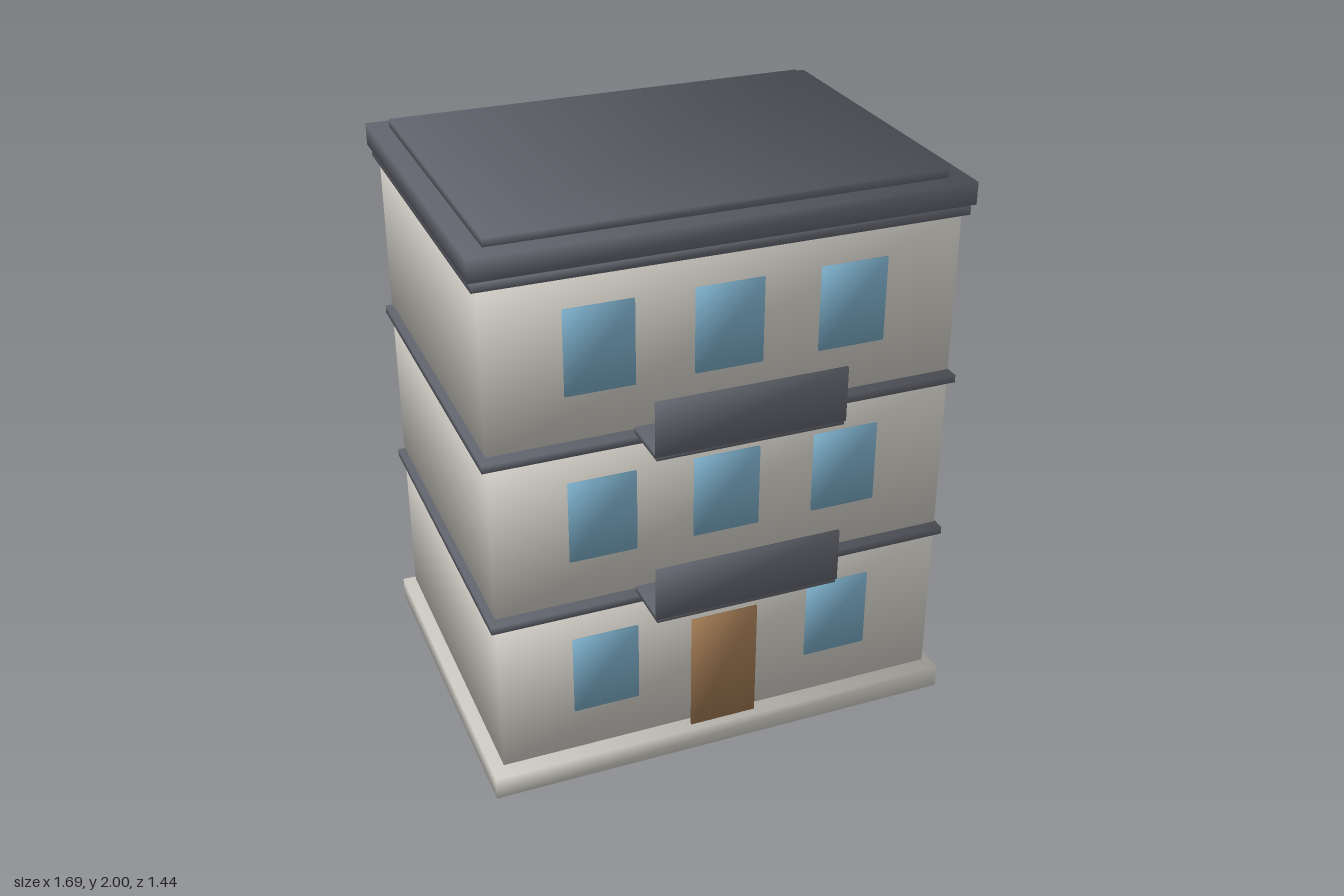
import * as THREE from 'three';

const material = (name, color) => {
  const m = new THREE.MeshStandardMaterial({ color });
  m.name = name;
  return m;
};

// Box between two corners, with normals blended across its corners for soft shading
function softBox(name, mat, [x0, x1], [y0, y1], [z0, z1]) {
  const geo = new THREE.BoxGeometry(x1 - x0, y1 - y0, z1 - z0);
  const pos = geo.attributes.position;
  const v = new THREE.Vector3();
  for (let i = 0; i < pos.count; i++) {
    v.fromBufferAttribute(pos, i);
    v.set(Math.sign(v.x), Math.sign(v.y), Math.sign(v.z)).normalize();
    geo.attributes.normal.setXYZ(i, v.x, v.y, v.z);
  }
  const mesh = new THREE.Mesh(geo, mat);
  mesh.name = name;
  mesh.position.set((x0 + x1) / 2, (y0 + y1) / 2, (z0 + z1) / 2);
  return mesh;
}

export function createModel() {
  const stone = material('pale stone', 0xd2cfc7);
  const slate = material('slate grey', 0x646770);
  const glass = material('blue glass', 0x7badc8);
  const wood = material('brown wood', 0x9f7852);

  const building = new THREE.Group();
  building.name = 'apartmentBuilding';

  const FRONT = 0.525, BACK = -0.68, HALF = 0.802, STOREY = 0.601;

  // Slab that overhangs the walls by a margin on every side
  const slab = (name, mat, margin, y0, y1) =>
    softBox(name, mat, [-HALF - margin, HALF + margin], [y0, y1], [BACK - margin, FRONT + margin]);

  building.add(slab('plinth', stone, 0.041, 0, 0.082));

  for (let floor = 0; floor < 3; floor++) {
    const base = 0.1 + floor * STOREY;
    const storey = new THREE.Group();
    storey.name = `storey${floor + 1}`;
    building.add(storey);

    // Walls with a thin cornice above
    storey.add(slab('walls', stone, 0, base, base + 0.56));
    storey.add(slab('cornice', slate, 0.02, base + 0.557, base + 0.584));

    // Windows on front and back; the ground floor has none in the middle
    for (const x of [-0.43, 0, 0.427]) {
      if (floor === 0 && x === 0) continue;
      const xs = [x - 0.115, x + 0.115];
      const ys = [base + 0.162, base + 0.452];
      storey.add(softBox('frontWindow', glass, xs, ys, [FRONT + 0.001, FRONT + 0.0105]));
      storey.add(softBox('backWindow', glass, xs, ys, [BACK - 0.0105, BACK - 0.001]));
    }

    // Balcony: floor plate and front panel, open at the ends
    if (floor > 0) {
      const balcony = new THREE.Group();
      balcony.name = 'balcony';
      balcony.add(softBox('balconyFloor', slate, [-0.318, 0.318], [base - 0.013, base + 0.007], [FRONT, 0.718]));
      balcony.add(softBox('balconyPanel', slate, [-0.322, 0.322], [base + 0.001, base + 0.19], [0.712, 0.722]));
      storey.add(balcony);
    }
  }

  building.add(softBox('door', wood, [-0.121, 0.119], [0.082, 0.525], [FRONT + 0.005, FRONT + 0.0145]));

  // Roof slab with a smaller raised deck on top
  building.add(slab('roofSlab', slate, 0.032, 1.896, 1.972));
  building.add(slab('roofDeck', slate, -0.036, 1.971, 2.0));

  return building;
}
